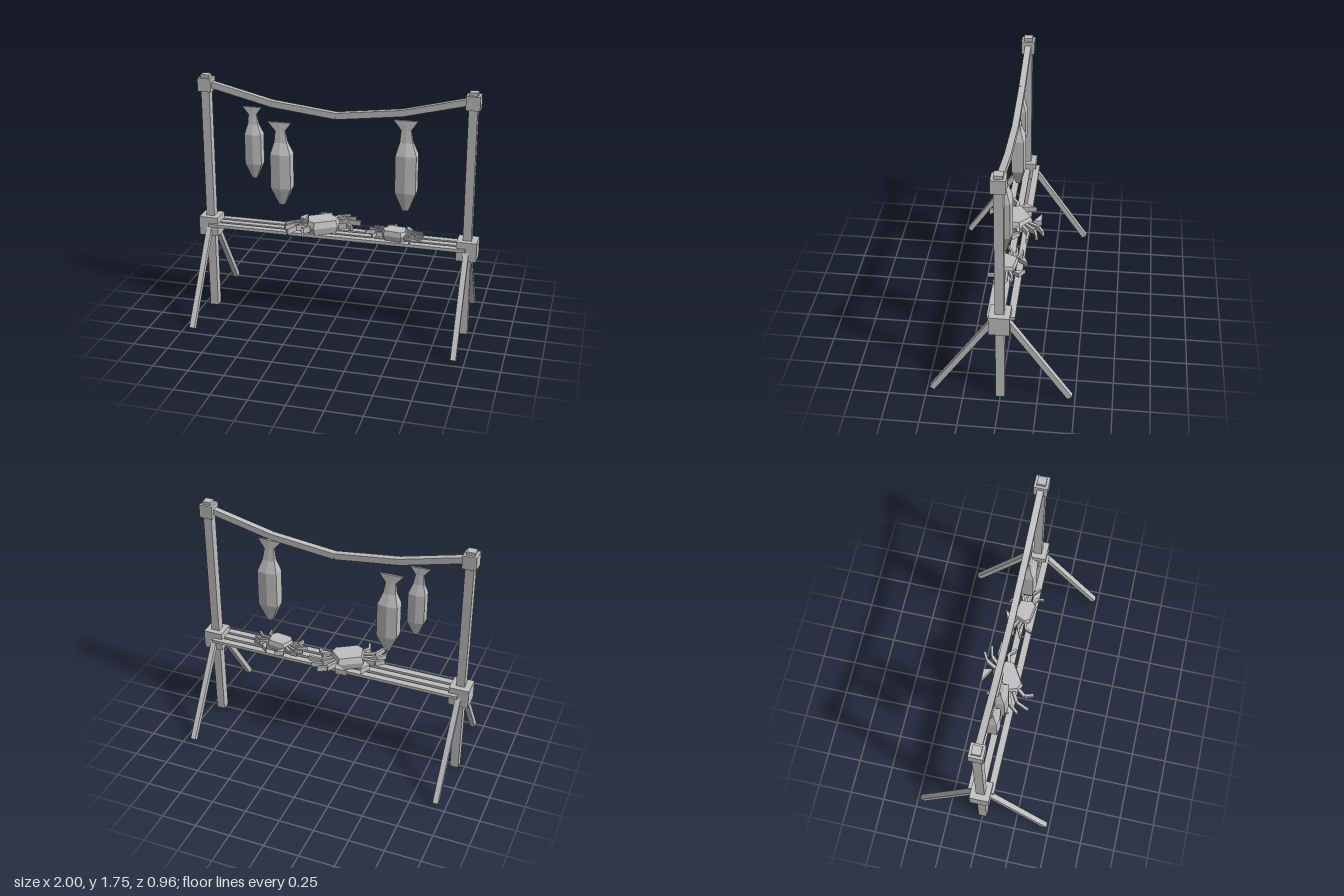
import * as THREE from 'three';

const wood = new THREE.MeshStandardMaterial({ color: 0xbfbfbf });
wood.name = 'plain grey';

function add(parent, name, geometry, x = 0, y = 0, z = 0) {
  const mesh = new THREE.Mesh(geometry, wood);
  mesh.name = name;
  mesh.position.set(x, y, z);
  parent.add(mesh);
  return mesh;
}

const box = (w, h, d) => new THREE.BoxGeometry(w, h, d);

// Square bar running from point a to point b
function bar(parent, name, a, b, width, height) {
  const from = new THREE.Vector3(...a), to = new THREE.Vector3(...b);
  const mesh = new THREE.Mesh(box(width, height, from.distanceTo(to)), wood);
  mesh.name = name;
  mesh.position.copy(from).lerp(to, 0.5);
  mesh.lookAt(to);
  parent.add(mesh);
}

// Faceted solid through rings listed from bottom to top, each counter-clockwise from above
function loft(rings) {
  const out = [], n = rings[0].length, top = rings[rings.length - 1];
  const tri = (a, b, c) => out.push(...a, ...b, ...c);
  for (let r = 0; r < rings.length - 1; r++) {
    const lo = rings[r], hi = rings[r + 1];
    for (let i = 0; i < n; i++) {
      const j = (i + 1) % n;
      tri(lo[i], lo[j], hi[j]);
      tri(lo[i], hi[j], hi[i]);
    }
  }
  for (let i = 1; i < n - 1; i++) {
    tri(top[0], top[i], top[i + 1]);
    tri(rings[0][0], rings[0][i + 1], rings[0][i]);
  }
  const geometry = new THREE.BufferGeometry();
  geometry.setAttribute('position', new THREE.Float32BufferAttribute(out, 3));
  geometry.computeVertexNormals();
  return geometry;
}

// Hanging fish, tail up: height fraction, half width, half depth, sideways drift
const FISH_ROWS = [
  [0, 0.02, 0.02, 0], [0.21, 0.072, 0.054, 0], [0.625, 0.072, 0.054, 0],
  [0.76, 0.045, 0.022, -0.004], [0.895, 0.034, 0.012, -0.008], [1, 0.084, 0.008, -0.012],
];
const FISH_SECTION = [[1, -0.78], [0, -1], [-1, -0.78], [-1, 0.78], [0, 1], [1, 0.78]];

function fish(parent, x, bottom, height, scale) {
  const rings = FISH_ROWS.map(([t, w, d, drift]) =>
    FISH_SECTION.map(([sx, sz]) => [(sx * w + drift) * scale, t * height, sz * d * scale]));
  add(parent, 'hangingFish', loft(rings), x, bottom, 0.016);
}

// Crab facing -z; points are sideways and forward
const SHELL = [[0.125, -0.03], [0.09, 0.092], [-0.09, 0.092], [-0.125, -0.03], [-0.088, -0.078], [0.088, -0.078]];
const CLAW = [[0.1, 0.085], [0.122, 0.145], [0.045, 0.19], [0.075, 0.135]];
const CRAB_LEGS = [
  [[0.09, 0.055], [0.17, 0.1], [0.24, 0.095]],
  [[0.1, 0.03], [0.19, 0.055], [0.265, 0.03]],
  [[0.1, 0], [0.19, 0.005], [0.27, -0.05]],
  [[0.09, -0.035], [0.165, -0.06], [0.18, -0.125]],
];

function crab(parent, x, z, turn, scale) {
  const group = new THREE.Group();
  group.name = 'crab';
  const ring = (points, y, k = 1) => points.map(([s, f]) => [s * k, y, -f * k]);
  add(group, 'crabShell', loft([ring(SHELL, 0, 0.85), ring(SHELL, 0.05), ring(SHELL, 0.096, 0.87)]));
  for (const side of [1, -1]) {
    const claw = CLAW.map(([s, f]) => [s * side, f]);
    if (side < 0) claw.reverse();
    add(group, 'crabClaw', loft([ring(claw, 0.025), ring(claw, 0.068)]));
    for (const leg of CRAB_LEGS) {
      const [hip, knee, tip] = leg.map(([s, f]) => [s * side, 0.045, -f]);
      bar(group, 'crabUpperLeg', hip, knee, 0.022, 0.04);
      bar(group, 'crabLowerLeg', knee, tip, 0.018, 0.036);
    }
  }
  group.position.set(x, 0.667, z);
  group.rotation.y = turn;
  group.scale.setScalar(scale);
  parent.add(group);
}

export function createModel() {
  const model = new THREE.Group();
  model.name = 'fishDryingRack';

  // Posts, joint blocks, splayed legs and drooping line on both sides
  for (const side of [1, -1]) {
    const x = 0.928 * side;
    add(model, 'post', box(0.06, 1.75, 0.06), x, 0.875, 0);
    add(model, 'topBlock', box(0.095, 0.095, 0.095), x, 1.68, 0);
    add(model, 'middleBlock', box(0.14, 0.138, 0.138), 0.93 * side, 0.642, 0);
    for (const face of [1, -1]) {
      bar(model, 'splayedLeg', [x, 0.645, 0.04 * face], [x, 0.02, 0.465 * face], 0.038, 0.038);
    }
    bar(model, 'hangingLine', [0.92 * side, 1.686, 0], [0.46 * side, 1.574, 0], 0.044, 0.044);
    bar(model, 'hangingLine', [0.465 * side, 1.574, 0], [0, 1.519, 0], 0.044, 0.044);
  }

  // Shelf slats
  for (const z of [-0.073, -0.003, 0.065]) {
    add(model, 'shelfSlat', box(1.85, 0.023, 0.047), 0, 0.655, z);
  }

  // Catch
  fish(model, -0.584, 1.03, 0.513, 0.82);
  fish(model, -0.386, 0.85, 0.597, 1);
  fish(model, 0.496, 0.888, 0.638, 1);
  crab(model, -0.1, 0.005, 0.56, 1);
  crab(model, 0.425, 0.015, -0.15, 0.75);
  return model;
}
